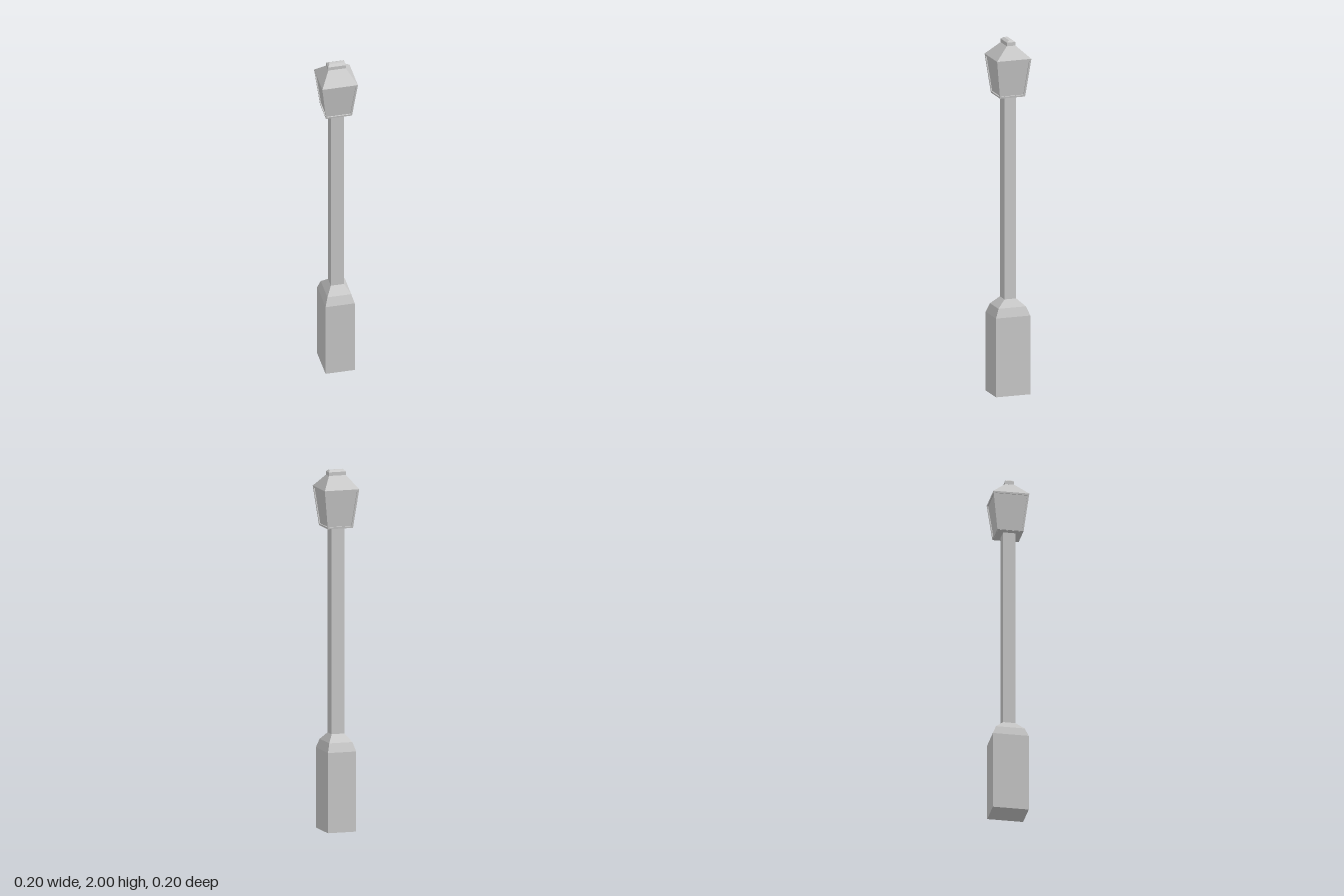
import * as THREE from 'three';

const metal = new THREE.MeshStandardMaterial({ color: 0xcccccc, flatShading: true });

// Closed solid through rectangular sections [y, half width x, half depth z], bottom to top
function rectLoft(name, sections) {
  const rings = sections.map(([y, a, b]) => [[a, y, b], [a, y, -b], [-a, y, -b], [-a, y, b]]);
  const pos = [];
  const quad = (a, b, c, d) => pos.push(...a, ...b, ...c, ...a, ...c, ...d);
  for (let i = 0; i < rings.length - 1; i++) {
    const lo = rings[i], hi = rings[i + 1];
    for (let k = 0; k < 4; k++) {
      const n = (k + 1) % 4;
      quad(lo[k], lo[n], hi[n], hi[k]);
    }
  }
  const bottom = rings[0], top = rings[rings.length - 1];
  quad(bottom[3], bottom[2], bottom[1], bottom[0]);
  quad(top[0], top[1], top[2], top[3]);
  const geo = new THREE.BufferGeometry();
  geo.setAttribute('position', new THREE.Float32BufferAttribute(pos, 3));
  geo.computeVertexNormals();
  const mesh = new THREE.Mesh(geo, metal);
  mesh.name = name;
  return mesh;
}

// Trapezoid outline around one lantern side
function trapezoid(target, y0, w0, y1, w1) {
  target.moveTo(-w0, y0);
  target.lineTo(w0, y0);
  target.lineTo(w1, y1);
  target.lineTo(-w1, y1);
  target.closePath();
  return target;
}

export function createModel() {
  const model = new THREE.Group();
  model.name = 'streetLamp';

  // Pedestal with chamfered shoulders, and the square post
  model.add(rectLoft('pedestal', [
    [0, 0.082, 0.1], [0.445, 0.082, 0.1], [0.495, 0.067, 0.08], [0.537, 0.037, 0.034],
  ]));
  model.add(rectLoft('post', [[0.53, 0.037, 0.034], [1.69, 0.037, 0.034]]));

  // Lantern: tapered panes set back behind four frames
  const y0 = 1.683, y1 = 1.9, w0 = 0.073, w1 = 0.1, inset = 0.006, border = 0.01;
  const lantern = new THREE.Group();
  lantern.name = 'lantern';
  lantern.add(rectLoft('panes', [[y0, w0 - inset, w0 - inset], [y1, w1 - inset, w1 - inset]]));

  const slant = Math.hypot(y1 - y0, w1 - w0);
  const tilt = Math.atan2(w1 - w0, y1 - y0);
  const widthAt = (s) => w0 + (w1 - w0) * s / slant;
  const shape = trapezoid(new THREE.Shape(), 0, w0, slant, w1);
  shape.holes.push(trapezoid(new THREE.Path(),
    border, widthAt(border) - border, slant - border, widthAt(slant - border) - border));
  const frameGeo = new THREE.ExtrudeGeometry(shape, { depth: 0.008, bevelEnabled: false });
  frameGeo.translate(0, 0, -0.008);
  frameGeo.rotateX(tilt);
  frameGeo.translate(0, y0, w0);
  for (let i = 0; i < 4; i++) {
    const frame = new THREE.Mesh(frameGeo, metal);
    frame.name = 'paneFrame';
    frame.rotation.y = i * Math.PI / 2;
    lantern.add(frame);
  }

  // Hipped roof and ridge cap
  lantern.add(rectLoft('roof', [[y1, w1, w1], [1.973, 0.047, 0.022]]));
  lantern.add(rectLoft('ridgeCap', [[1.97, 0.05, 0.025], [1.99, 0.05, 0.025], [2, 0.04, 0.009]]));
  model.add(lantern);

  return model;
}
